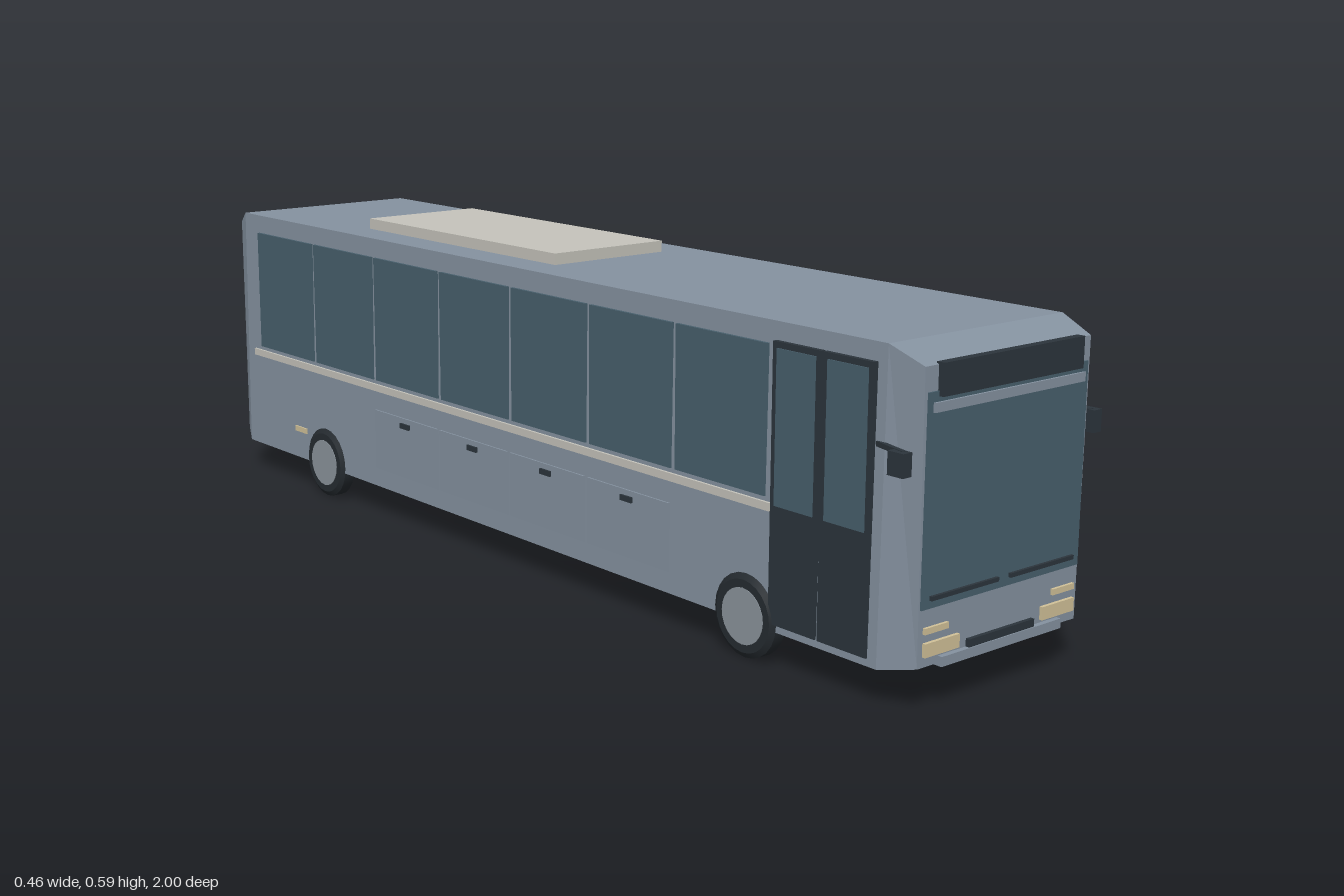
import * as THREE from 'three';
import { toCreasedNormals } from 'three/addons/utils/BufferGeometryUtils.js';

const paint = (name, color) => {
  const m = new THREE.MeshStandardMaterial({ color });
  m.name = name;
  return m;
};

export function createModel() {
  const bus = new THREE.Group();
  bus.name = 'bus';

  const body = paint('bodyGrey', 0x8592a0);
  const glass = paint('tintedGlass', 0x48606d);
  const dark = paint('darkTrim', 0x2c353c);
  const tyreBlack = paint('tyreBlack', 0x252b30);
  const hubGrey = paint('hubGrey', 0x8b949c);
  const cream = paint('creamTrim', 0xc6c4bc);
  const lamp = paint('lampYellow', 0xd2c299);
  const red = paint('tailRed', 0xb03632);

  const add = (name, geometry, material, parent = bus) => {
    const mesh = new THREE.Mesh(geometry, material);
    mesh.name = name;
    parent.add(mesh);
    return mesh;
  };
  // Box given by its limits on each axis
  const box = (name, material, [x0, x1], [y0, y1], [z0, z1]) => {
    const a = Math.min(x0, x1), b = Math.max(x0, x1);
    const mesh = add(name, new THREE.BoxGeometry(b - a, y1 - y0, z1 - z0), material);
    mesh.position.set((a + b) / 2, (y0 + y1) / 2, (z0 + z1) / 2);
    return mesh;
  };

  // Body shell: four rectangular sections, with the end ones drawn in
  const sections = [
    { z: -0.993, bottom: 0.08, top: 0.54, wb: 0.186, wt: 0.186 },
    { z: -0.95, bottom: 0.062, top: 0.565, wb: 0.206, wt: 0.2005 },
    { z: 0.925, bottom: 0.062, top: 0.565, wb: 0.206, wt: 0.2005 },
    { z: 0.989, bottom: 0.076, top: 0.539, wb: 0.186, wt: 0.191 },
  ];
  const rings = sections.map(({ z, bottom, top, wb, wt }) => [
    [wb, bottom, z], [wt, top, z], [-wt, top, z], [-wb, bottom, z],
  ]);
  const points = [];
  const quad = (a, b, c, d) => points.push(...a, ...b, ...c, ...a, ...c, ...d);
  for (let i = 0; i < 3; i++) {
    for (let j = 0; j < 4; j++) {
      const k = (j + 1) % 4;
      quad(rings[i][j], rings[i][k], rings[i + 1][k], rings[i + 1][j]);
    }
  }
  quad(...rings[3]);
  quad(...[...rings[0]].reverse());
  const shell = new THREE.BufferGeometry();
  shell.setAttribute('position', new THREE.Float32BufferAttribute(points, 3));
  shell.computeVertexNormals();
  add('bodyShell', shell, body);

  // Roof unit
  box('roofUnit', cream, [-0.128, 0.128], [0.56, 0.586], [-0.57, 0.042]);

  // Front
  box('windscreen', glass, [-0.184, 0.184], [0.168, 0.5], [0.986, 0.992]);
  box('destinationPanel', dark, [-0.162, 0.162], [0.492, 0.543], [0.985, 1]);
  box('sunVisor', body, [-0.174, 0.174], [0.469, 0.484], [0.988, 0.996]);
  box('grille', dark, [-0.077, 0.077], [0.087, 0.101], [0.987, 0.996]);
  box('bumper', body, [-0.141, 0.141], [0.072, 0.088], [0.98, 0.998]);

  // Rear
  box('rearWindow', glass, [-0.18, 0.18], [0.283, 0.457], [-1, -0.991]);

  // Wheel shapes, with the axle along x
  const tyreShape = toCreasedNormals(new THREE.LatheGeometry([
    [0.001, -0.017], [0.062, -0.017], [0.0715, -0.011],
    [0.0715, 0.011], [0.062, 0.017], [0.001, 0.017],
  ].map(([r, h]) => new THREE.Vector2(r, h)), 24), 0.5).rotateZ(Math.PI / 2);
  const hubShape = new THREE.CylinderGeometry(0.048, 0.048, 0.036, 24).rotateZ(Math.PI / 2);

  const pitch = 0.2255;
  for (const s of [1, -1]) {
    const side = s > 0 ? 'left' : 'right';

    // Lamps and wipers
    box(side + 'Headlight', lamp, [s * 0.098, s * 0.176], [0.093, 0.115], [0.986, 0.995]);
    box(side + 'FrontIndicator', lamp, [s * 0.123, s * 0.176], [0.129, 0.139], [0.986, 0.994]);
    box(side + 'Wiper', dark, [s * 0.014, s * 0.167], [0.181, 0.188], [0.99, 0.997]);
    box(side + 'TailLight', red, [s * 0.094, s * 0.18], [0.093, 0.117], [-1, -0.991]);
    box(side + 'SideMarker', lamp, [s * 0.2, s * 0.2085], [0.119, 0.13], [-0.757, -0.712]);

    // Side windows; the right side leaves room for the door
    for (let i = s > 0 ? 0 : 1; i < 8; i++) {
      const z = 0.902 - i * pitch;
      box(side + 'Window', glass, [s * 0.198, s * 0.2065], [0.281, 0.528], [z - pitch + 0.011, z]);
    }
    box(side + 'WaistStrip', cream, [s * 0.2, s * 0.2085], [0.259, 0.273],
      [-0.918, s > 0 ? 0.718 : 0.69]);

    // Luggage hatches with handles
    for (let i = 0; i < 4; i++) {
      const z = (1.5 - i) * pitch + 0.002;
      box(side + 'Hatch', body, [s * 0.199, s * 0.2075], [0.1, 0.22], [z - 0.108, z + 0.108]);
      box(side + 'HatchHandle', dark, [s * 0.203, s * 0.2115], [0.2, 0.21], [z - 0.015, z + 0.015]);
    }

    // Mirror on a slanting arm
    box(side + 'MirrorHead', dark, [s * 0.212, s * 0.231], [0.378, 0.415], [0.957, 0.988]);
    const arm = box(side + 'MirrorArm', dark, [s * 0.206, s * 0.214], [0.408, 0.416], [0.91, 0.98]);
    arm.rotation.y = s * 0.25;

    // Wheels
    for (const z of [0.637, -0.637]) {
      const wheel = new THREE.Group();
      wheel.name = side + (z > 0 ? 'FrontWheel' : 'RearWheel');
      wheel.position.set(s * 0.195, 0.0725, z);
      add('tyre', tyreShape, tyreBlack, wheel);
      add('hub', hubShape, hubGrey, wheel);
      bus.add(wheel);
    }
  }

  // Two-leaf door on the right side
  for (const z of [0.693, 0.802]) {
    box('doorLeaf', dark, [-0.19, -0.2095], [0.075, 0.535], [z, z + 0.104]);
    box('doorGlass', glass, [-0.205, -0.2115], [0.272, 0.525], [z + 0.01, z + 0.094]);
  }

  return bus;
}
